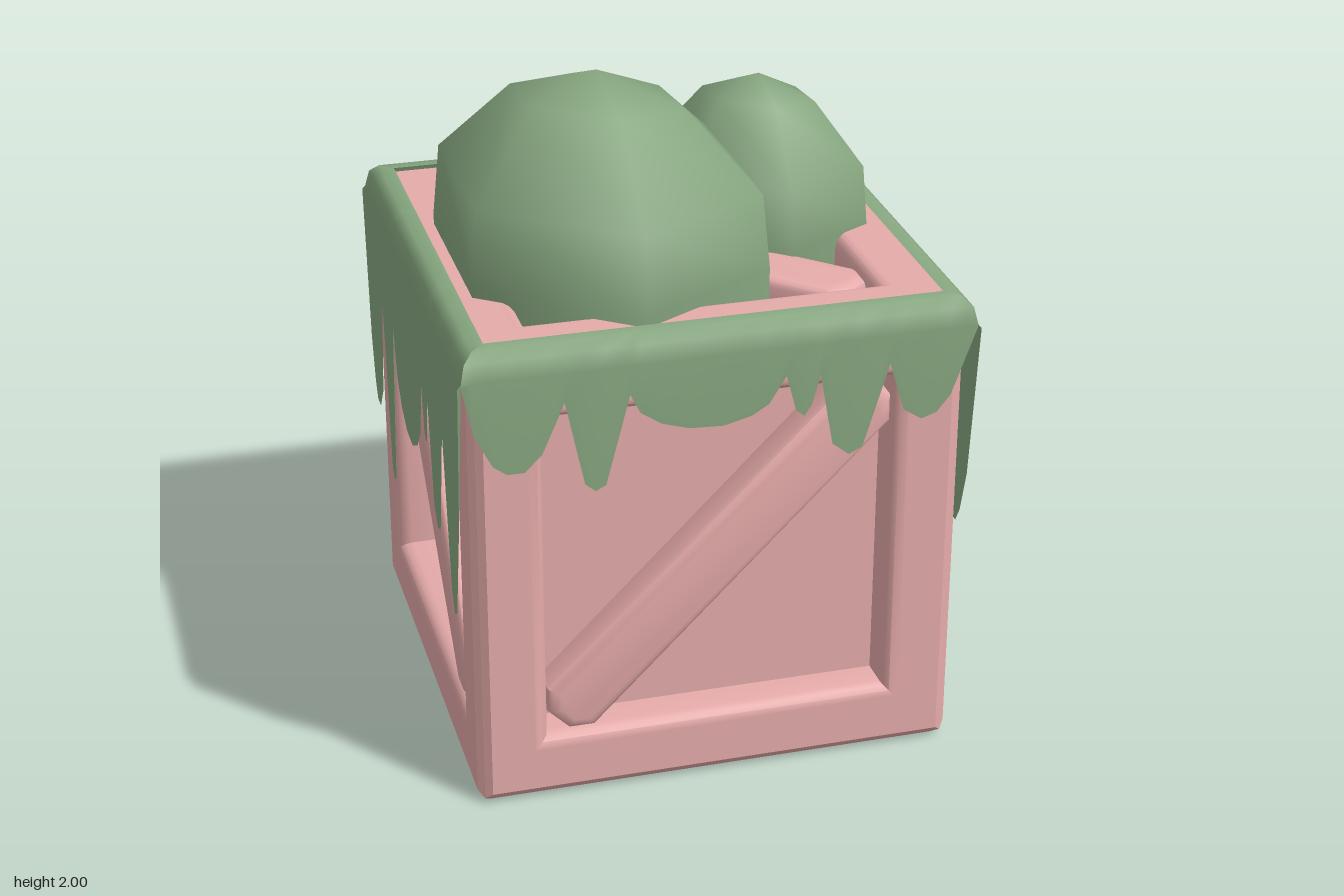
import * as THREE from 'three';
import { mergeVertices, toCreasedNormals } from 'three/addons/utils/BufferGeometryUtils.js';

const HALF = 0.72;

// Grid of points (rows of equal length) to a surface.
function gridGeometry(rows) {
  const n = rows[0].length, index = [];
  for (let r = 0; r < rows.length - 1; r++) {
    for (let c = 0; c < n - 1; c++) {
      const a = r * n + c, b = a + n;
      index.push(a, b, a + 1, a + 1, b, b + 1);
    }
  }
  const g = new THREE.BufferGeometry();
  g.setAttribute('position', new THREE.Float32BufferAttribute(rows.flat(2), 3));
  g.setIndex(index);
  return g;
}

// One crate side: square rings of [half width, distance from centre],
// from the chamfered edge over the rounded rim down to the sunken panel.
function crateSideGeometry() {
  const rings = [[0.702, 0.702], [0.682, 0.72], [0.672, 0.72], [0.555, 0.72], [0.545, 0.72],
    [0.53, 0.714], [0.516, 0.7], [0.51, 0.68], [0.508, 0.6], [0, 0.6]];
  const rows = rings.map(([h, d]) =>
    [[-1, 1], [1, 1], [1, -1], [-1, -1], [-1, 1]].map(([x, y]) => [x * h, y * h, d]));
  rows.forEach((row) => row.unshift(row.pop()));
  return toCreasedNormals(gridGeometry(rows.map((row) => [...row.slice(1), row[1]])), 0.7);
}

// Diagonal plank with clipped corners and bevelled rim.
function braceGeometry() {
  const l = 0.675, w = 0.098, c = 0.055;
  const shape = new THREE.Shape([[-l, -w + c], [-l + c, -w], [l - c, -w], [l, -w + c],
    [l, w - c], [l - c, w], [-l + c, w], [-l, w - c]].map((p) => new THREE.Vector2(...p)));
  const g = new THREE.ExtrudeGeometry(shape, {
    depth: 0.08, bevelThickness: 0.03, bevelSize: 0.035, bevelOffset: -0.035, bevelSegments: 3,
  });
  return toCreasedNormals(g, 0.7);
}

// Slime sheet folded over a top edge; outline lists [across, bottom height],
// hem is the distance of the lower edge from the centre.
function slimeGeometry(outline, hem) {
  const fold = [[0.662, 1.46], [0.702, 1.459], [0.73, 1.433], [0.742, 1.38]];
  const rows = fold.map(([d, y]) => outline.map(([u]) => [u * d / 0.742, y, d]));
  rows.push(outline.map(([u, y]) => [u, y, hem]));
  const g = gridGeometry(rows);
  g.computeVertexNormals();
  return g;
}

// Six-sided smooth dome, skewed in plan and leaning near the top.
function blobGeometry(rx, rz, height) {
  const profile = [[1, 0], [1, 0.25], [0.955, 0.565], [0.51, 0.885], [0, 1]]
    .map(([r, y]) => new THREE.Vector2(r, y));
  let g = new THREE.LatheGeometry(profile, 6);
  g.scale(rx, height, rz);
  const p = g.attributes.position;
  for (let i = 0; i < p.count; i++) {
    const x = p.getX(i), y = p.getY(i), z = p.getZ(i);
    if (y > height * 0.7) p.setY(i, y - 0.07 * x + 0.1 * z);
    p.setZ(i, z + 0.11 * x);
  }
  g.deleteAttribute('normal');
  g.deleteAttribute('uv');
  g = mergeVertices(g, 1e-4);
  g.computeVertexNormals();
  return g;
}

export function createModel() {
  const model = new THREE.Group();
  model.name = 'slimyCrate';
  const pink = new THREE.MeshStandardMaterial({ color: 0xe5abaa });
  pink.name = 'dusty pink';
  const green = new THREE.MeshStandardMaterial({ color: 0x87a780, side: THREE.DoubleSide });
  green.name = 'slime green';

  const add = (parent, name, geometry, material) => {
    const mesh = new THREE.Mesh(geometry, material);
    mesh.name = name;
    parent.add(mesh);
    return mesh;
  };

  // Crate: six framed sides, each with a diagonal brace
  const side = crateSideGeometry(), brace = braceGeometry(), q = Math.PI / 2;
  const sides = [['front', 0, 0, 1], ['left', 0, q, 1], ['back', 0, 2 * q, -1],
    ['right', 0, -q, -1], ['top', -q, 0, -1], ['bottom', q, 0, 1]];
  for (const [name, rx, ry, slope] of sides) {
    const group = new THREE.Group();
    group.name = name + 'Side';
    group.position.y = HALF;
    group.rotation.set(rx, ry, 0);
    add(group, name + 'Frame', side, pink);
    const b = add(group, name + 'Brace', brace, pink);
    b.position.z = 0.6;
    b.rotation.z = slope * Math.PI / 4;
    model.add(group);
  }

  // Slime drips: short on front and back, long on left and right
  const shortDrips = [[-0.742, 1.37], [-0.71, 1.22], [-0.66, 1.12], [-0.62, 1.09], [-0.57, 1.09],
    [-0.52, 1.14], [-0.455, 1.29], [-0.4, 1.03], [-0.37, 1.005], [-0.34, 1.02], [-0.27, 1.29],
    [-0.24, 1.23], [-0.18, 1.19], [-0.1, 1.165], [0, 1.16], [0.08, 1.18], [0.13, 1.21],
    [0.18, 1.29], [0.21, 1.18], [0.235, 1.16], [0.255, 1.19], [0.28, 1.28], [0.32, 1.06],
    [0.37, 1.02], [0.41, 1.04], [0.485, 1.29], [0.53, 1.14], [0.585, 1.105], [0.63, 1.12],
    [0.67, 1.17], [0.742, 1.37]];
  const longDrips = [[-0.742, 1.37], [-0.69, 0.88], [-0.65, 0.74], [-0.62, 0.69], [-0.57, 0.69],
    [-0.51, 0.77], [-0.45, 1.11], [-0.39, 0.56], [-0.36, 0.53], [-0.33, 0.55], [-0.27, 1.11],
    [-0.23, 0.96], [-0.17, 0.88], [-0.09, 0.835], [0, 0.83], [0.08, 0.87], [0.14, 0.94],
    [0.185, 1.11], [0.21, 0.98], [0.23, 0.96], [0.25, 0.97], [0.275, 1.11], [0.33, 0.8],
    [0.375, 0.75], [0.415, 0.765], [0.49, 1.11], [0.56, 0.65], [0.595, 0.585], [0.63, 0.61],
    [0.7, 0.92], [0.742, 1.37]];
  const sheets = [slimeGeometry(shortDrips, 0.738), slimeGeometry(longDrips, 0.752)];
  ['front', 'left', 'back', 'right'].forEach((name, i) => {
    add(model, name + 'Slime', sheets[i % 2], green).rotation.y = i * q;
  });

  // Slime blobs on the lid
  add(model, 'largeBlob', blobGeometry(0.49, 0.557, 0.7), green).position.set(-0.195, 1.3, 0.085);
  add(model, 'smallBlob', blobGeometry(0.322, 0.365, 0.57), green).position.set(0.35, 1.3, -0.113);

  return model;
}
